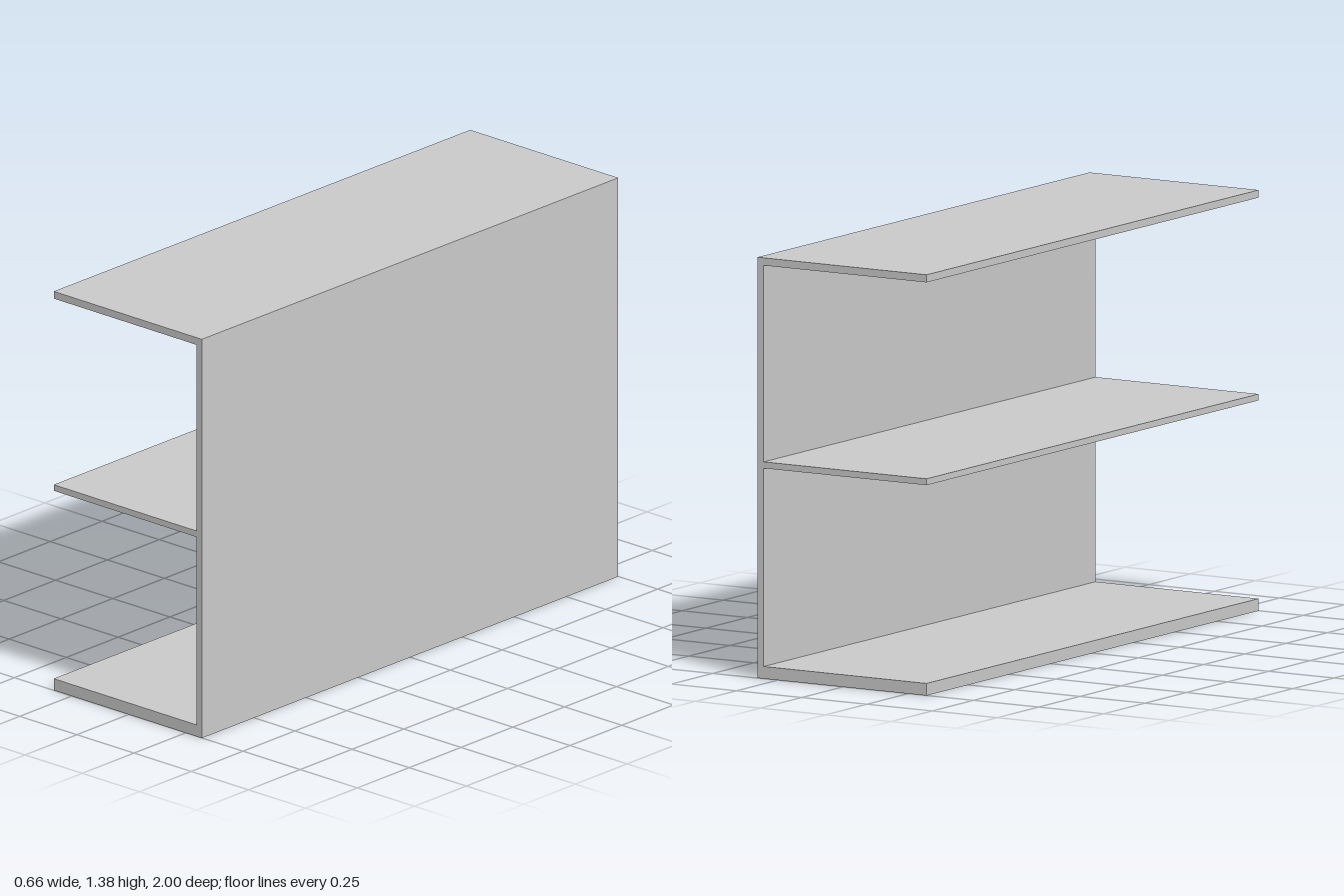
import * as THREE from 'three';

const DEPTH = 2, LEFT = -0.325, INNER = 0.301, RIGHT = 0.325;

export function createModel() {
  const group = new THREE.Group();
  group.name = 'openShelfUnit';
  const material = new THREE.MeshStandardMaterial({ color: 0xcccccc, flatShading: true });

  // Full-depth board given by its x and y limits
  const board = (name, x0, x1, y0, y1) => {
    const mesh = new THREE.Mesh(new THREE.BoxGeometry(x1 - x0, y1 - y0, DEPTH), material);
    mesh.position.set((x0 + x1) / 2, (y0 + y1) / 2, 0);
    mesh.name = name;
    group.add(mesh);
  };

  // Three shelves, the lowest one thicker
  board('bottomShelf', LEFT, INNER, 0, 0.04);
  board('middleShelf', LEFT, INNER, 0.691, 0.712);
  board('topShelf', LEFT, INNER, 1.357, 1.382);

  // Upright wall in two stacked panels
  board('lowerWall', INNER, RIGHT, 0, 0.712);
  board('upperWall', INNER, RIGHT, 0.712, 1.382);

  // The whole unit stands very slightly turned
  group.rotation.y = -0.004;
  return group;
}
